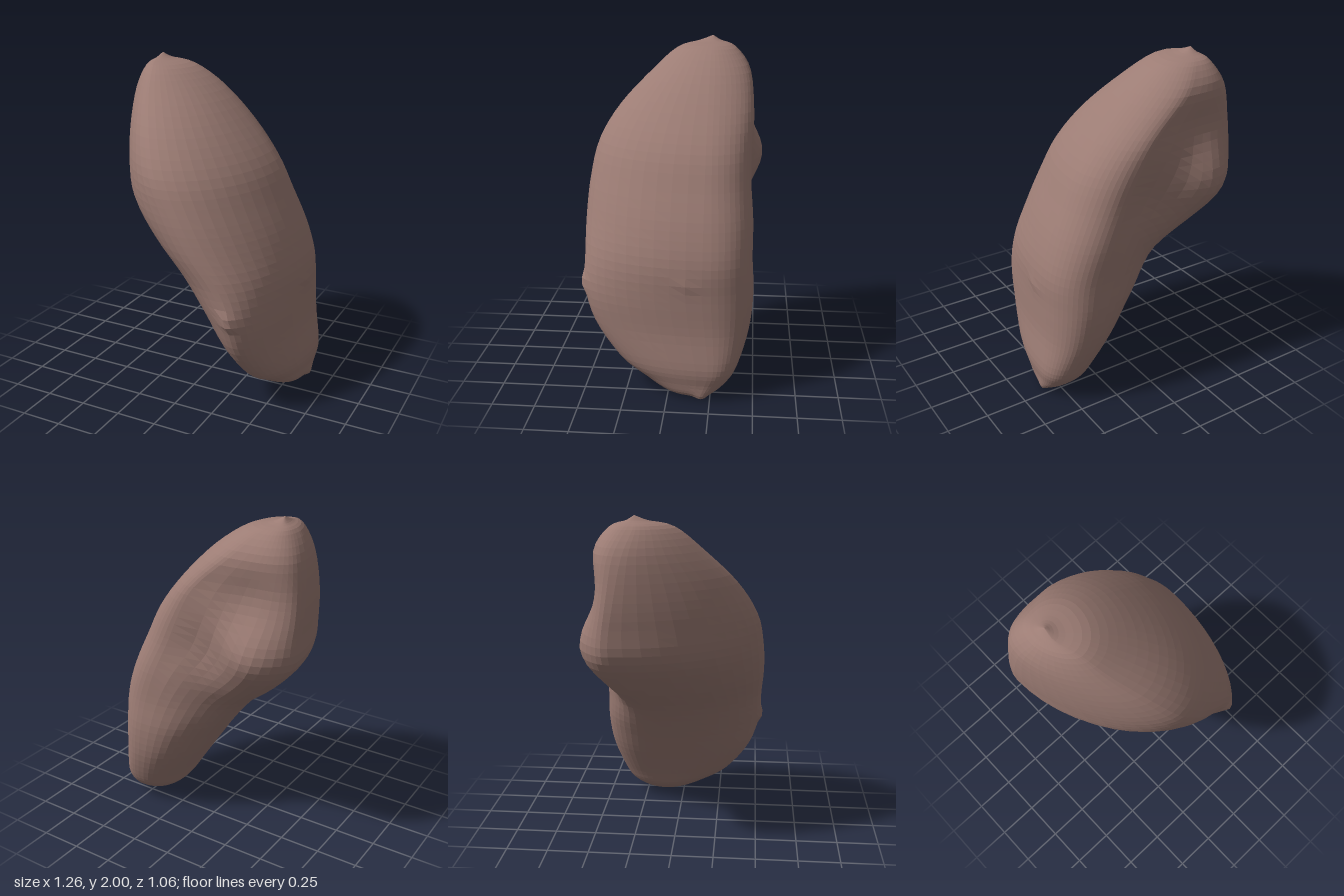
import * as THREE from 'three';

// Height, then the (x, z) of the leftmost, front, rightmost and back point of each level
const SECTIONS = [
  [0.0, 0.53, -0.1, 0.53, -0.1, 0.53, -0.1, 0.53, -0.1],
  [0.03, 0.41, -0.12, 0.5, 0.02, 0.6, -0.18, 0.55, -0.25],
  [0.1, 0.31, -0.12, 0.46, 0.15, 0.62, -0.22, 0.5, -0.35],
  [0.2, 0.25, -0.12, 0.42, 0.3, 0.63, -0.24, 0.48, -0.41],
  [0.4, 0.12, -0.12, 0.38, 0.45, 0.6, -0.22, 0.42, -0.47],
  [0.6, -0.02, -0.1, 0.35, 0.51, 0.59, -0.2, 0.38, -0.49],
  [0.8, -0.19, -0.12, 0.26, 0.52, 0.58, -0.2, 0.34, -0.48],
  [1.0, -0.42, -0.24, 0.11, 0.53, 0.52, -0.2, 0.27, -0.48],
  [1.2, -0.6, -0.3, -0.01, 0.52, 0.43, -0.2, 0.18, -0.47],
  [1.4, -0.63, -0.31, -0.12, 0.48, 0.33, -0.2, 0.09, -0.47],
  [1.6, -0.63, -0.29, -0.22, 0.36, 0.17, -0.2, -0.03, -0.47],
  [1.8, -0.6, -0.25, -0.33, 0.17, -0.03, -0.2, -0.25, -0.45],
  [1.93, -0.53, -0.2, -0.39, 0.02, -0.22, -0.2, -0.37, -0.35],
  [1.97, -0.47, -0.2, -0.44, -0.12, -0.38, -0.2, -0.43, -0.25],
  [2.0, -0.44, -0.2, -0.44, -0.2, -0.44, -0.2, -0.44, -0.2],
];

// Local swellings and hollows: centre, radius, push direction
const DENTS = [
  { at: [-0.42, 1.25, -0.44], r: 0.21, push: [0, 0, -0.095] }, // back swelling
  { at: [-0.36, 1.58, -0.44], r: 0.18, push: [0.01, 0, 0.04] }, // upper hollow
  { at: [-0.06, 1.2, -0.45], r: 0.2, push: [0, 0, 0.035] }, // middle hollow
  { at: [-0.06, 0.93, -0.42], r: 0.17, push: [0.03, 0, 0.03] }, // lower hollow
  { at: [0.36, 0.62, 0.53], r: 0.05, push: [0, 0, 0.03] }, // front nub
  { at: [0.58, 0.7, -0.14], r: 0.04, push: [0.015, 0, 0] }, // side nub
  { at: [0.59, 0.03, -0.2], r: 0.04, push: [0.01, -0.02, 0] }, // bottom nub
];

const ROWS = 56;
const QUARTER = 12; // steps between neighbouring extremes

// Roundness of each quarter: below 1 is squarer, above 1 is flatter
function roundness(quarter, y) {
  const upper = THREE.MathUtils.smoothstep(y, 0.8, 1.6);
  return [1.1 + 0.15 * upper, 1, 0.85 + 0.17 * upper, 0.9 - 0.2 * upper][quarter];
}

function bodyGeometry() {
  // One lengthwise rail for each of the four extremes
  const rails = [1, 3, 5, 7].map((k) => new THREE.CatmullRomCurve3(
    SECTIONS.map((s) => new THREE.Vector3(s[k], s[0], s[k + 1])), false, 'catmullrom', 0.5));
  const around = QUARTER * 4;
  const positions = [];
  const index = [];
  const p = new THREE.Vector3();
  const v = new THREE.Vector3();

  for (let i = 0; i <= ROWS; i++) {
    const ends = rails.map((rail) => rail.getPoint(i / ROWS));
    for (let q = 0; q < 4; q++) {
      const a = ends[q];
      const b = ends[(q + 1) % 4];
      const power = roundness(q, a.y);
      for (let j = 0; j < QUARTER; j++) {
        // Quarter superellipse, tangent to the bounds at both extremes
        const t = (j / QUARTER) * Math.PI / 2;
        const near = 1 - Math.pow(Math.cos(t), power);
        const far = Math.pow(Math.sin(t), power);
        const [fx, fz] = q % 2 === 0 ? [near, far] : [far, near];
        p.set(a.x + (b.x - a.x) * fx, a.y, a.z + (b.z - a.z) * fz);
        for (const { at, r, push } of DENTS) {
          const d = p.distanceTo(v.fromArray(at)) / r;
          p.addScaledVector(v.fromArray(push), Math.exp(-d * d));
        }
        positions.push(p.x, p.y, p.z);
      }
    }
  }

  // The first and last rings are single points, so they take one triangle per step
  for (let i = 0; i < ROWS; i++) {
    for (let j = 0; j < around; j++) {
      const a = i * around + j;
      const b = i * around + ((j + 1) % around);
      const c = b + around;
      const d = a + around;
      if (i > 0) index.push(a, b, d);
      if (i < ROWS - 1) index.push(b, c, d);
    }
  }

  const geometry = new THREE.BufferGeometry();
  geometry.setAttribute('position', new THREE.Float32BufferAttribute(positions, 3));
  geometry.setIndex(index);
  geometry.computeVertexNormals();
  return geometry;
}

export function createModel() {
  const group = new THREE.Group();
  group.name = 'organ';
  const material = new THREE.MeshStandardMaterial({ color: 0x9c7c74, flatShading: true });
  const body = new THREE.Mesh(bodyGeometry(), material);
  body.name = 'organBody';
  group.add(body);
  return group;
}
